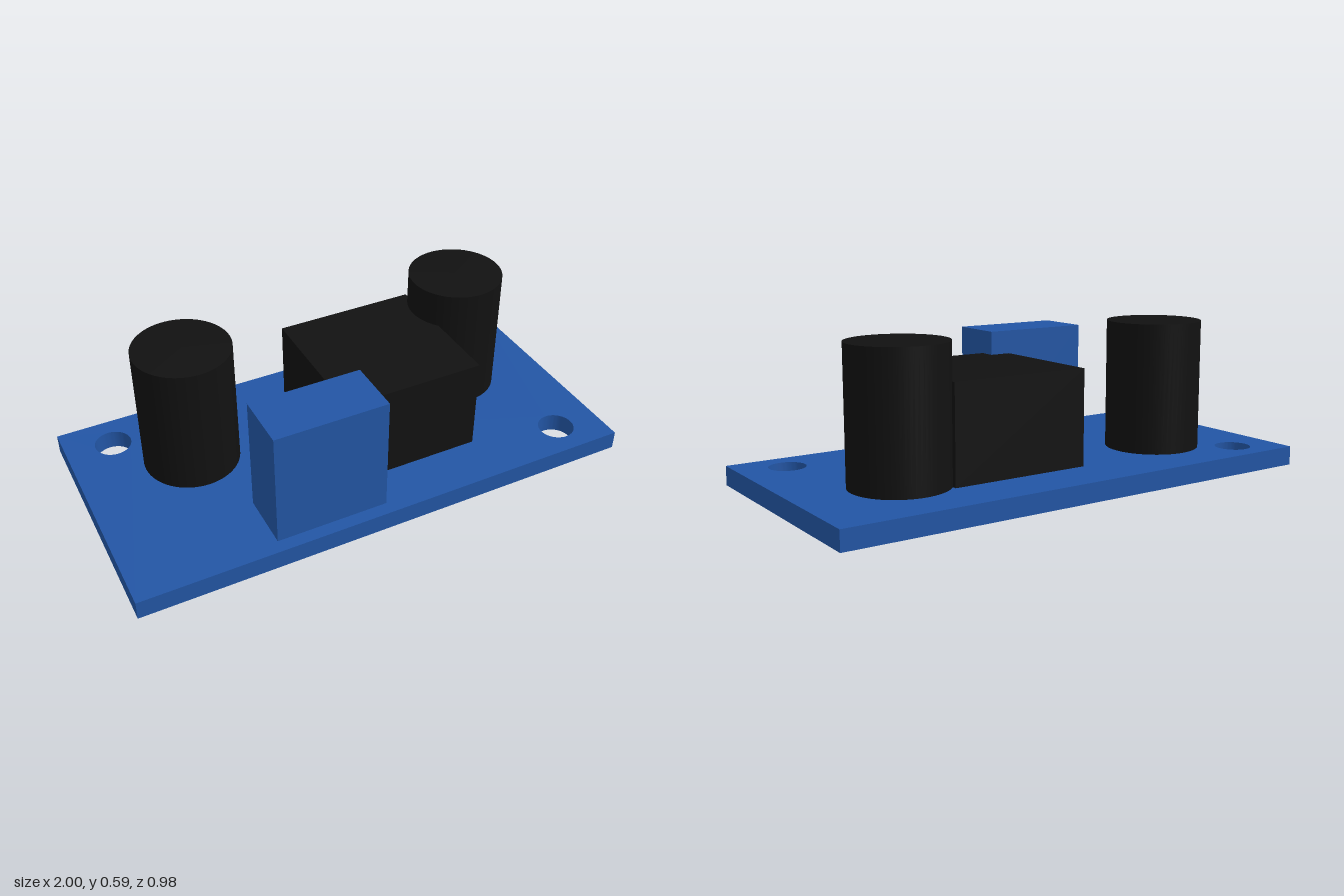
import * as THREE from 'three';
import { toCreasedNormals } from 'three/addons/utils/BufferGeometryUtils.js';

export function createModel() {
  const group = new THREE.Group();
  const blue = new THREE.MeshStandardMaterial({ color: 0x2255a4 });
  blue.name = 'board blue';
  const black = new THREE.MeshStandardMaterial({ color: 0x111111 });
  black.name = 'component black';

  const boardTop = 0.075;

  function add(name, geometry, material, x = 0, y = 0, z = 0) {
    const mesh = new THREE.Mesh(geometry, material);
    mesh.name = name;
    mesh.position.set(x, y, z);
    group.add(mesh);
  }

  // Block standing on the board, given by its x and z limits and its top
  function addBlock(name, material, x0, x1, z0, z1, top) {
    const h = top - boardTop;
    add(name, new THREE.BoxGeometry(x1 - x0, h, z1 - z0), material,
      (x0 + x1) / 2, boardTop + h / 2, (z0 + z1) / 2);
  }

  // Circuit board with two mounting holes in opposite corners
  const outline = new THREE.Shape([
    new THREE.Vector2(-1, -0.49), new THREE.Vector2(1, -0.49),
    new THREE.Vector2(1, 0.49), new THREE.Vector2(-1, 0.49),
  ]);
  for (const side of [-1, 1]) {
    const hole = new THREE.Path();
    hole.absarc(side * 0.813, side * -0.35, 0.071, 0, Math.PI * 2, true);
    outline.holes.push(hole);
  }
  const board = new THREE.ExtrudeGeometry(outline, {
    depth: boardTop, bevelEnabled: false, curveSegments: 32,
  });
  board.rotateX(-Math.PI / 2);
  add('circuitBoard', toCreasedNormals(board, 0.6), blue);

  // Capacitors
  const capTop = 0.587;
  const capHeight = capTop - boardTop;
  const capacitor = new THREE.CylinderGeometry(0.187, 0.187, capHeight, 64);
  add('rightCapacitor', capacitor, black, -0.56, boardTop + capHeight / 2, -0.14);
  add('leftCapacitor', capacitor, black, 0.602, boardTop + capHeight / 2, -0.14);

  // Inductor block and trimmer block
  addBlock('inductor', black, -0.1, 0.46, -0.28, 0.28, 0.447);
  addBlock('trimmer', blue, -0.455, -0.015, 0.215, 0.438, 0.54);

  return group;
}
